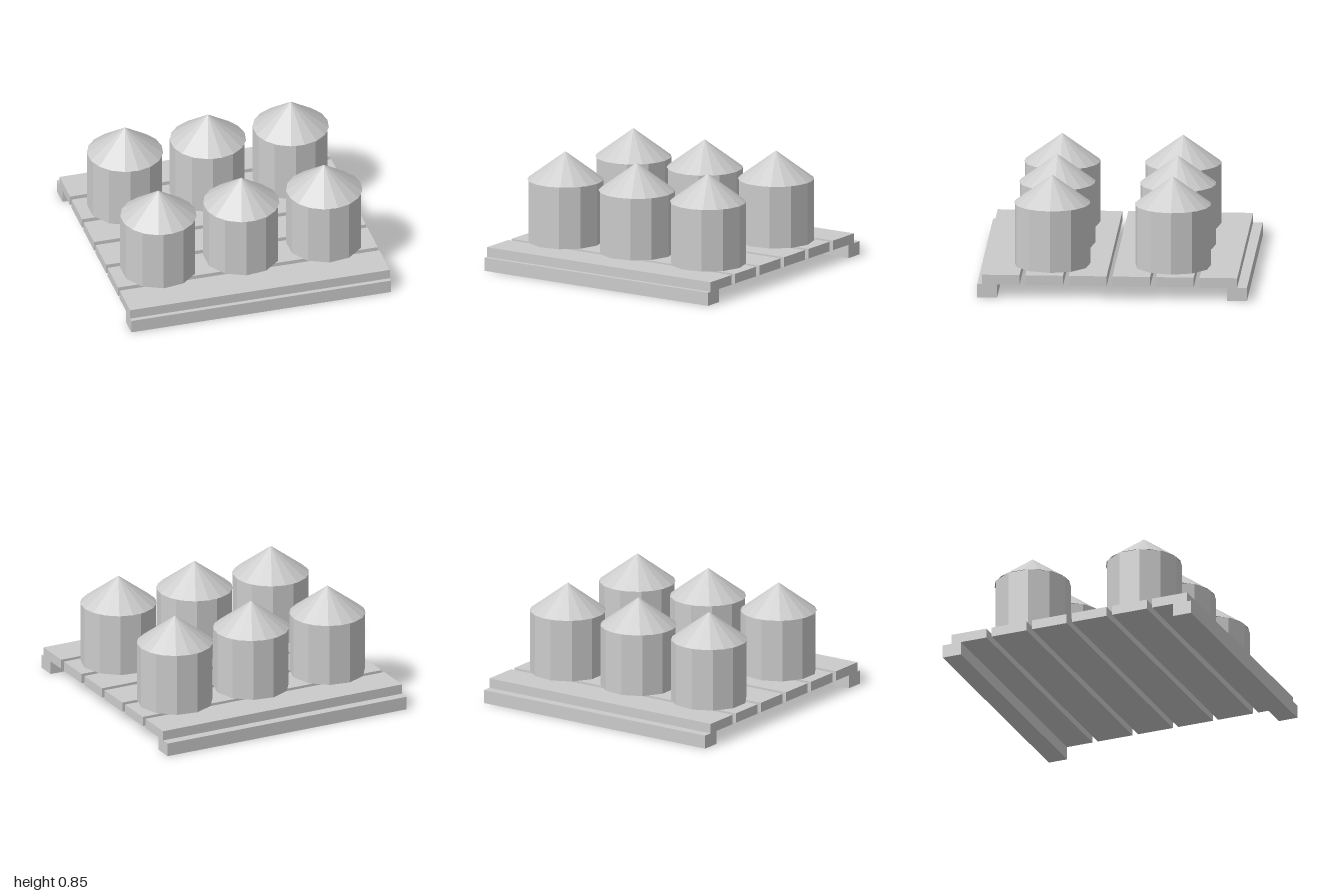
import * as THREE from 'three';

const material = new THREE.MeshStandardMaterial({ color: 0xcccccc, flatShading: true });

function addMesh(parent, name, geometry, x, y, z) {
  const mesh = new THREE.Mesh(geometry, material);
  mesh.name = name;
  mesh.position.set(x, y, z);
  parent.add(mesh);
  return mesh;
}

export function createModel() {
  const model = new THREE.Group();
  model.name = 'palletWithTanks';

  const railHeight = 0.1, deckTop = 0.173, wallTop = 0.642, apex = 0.853;

  // Two rails carrying the deck along the front and back edges
  const railGeometry = new THREE.BoxGeometry(2, railHeight, 0.147);
  addMesh(model, 'frontRail', railGeometry, 0, railHeight / 2, 0.9265);
  addMesh(model, 'backRail', railGeometry, 0, railHeight / 2, -0.9265);

  // Six deck planks with narrow gaps
  const plankDepth = 0.28, pitch = 0.3228;
  const plankGeometry = new THREE.BoxGeometry(2, deckTop - railHeight, plankDepth);
  for (let i = 0; i < 6; i++) {
    addMesh(model, 'deckPlank', plankGeometry, 0, (deckTop + railHeight) / 2, 0.826 - i * pitch);
  }

  // Six faceted tanks with conical roofs, each with a corner pointing to +x
  const radius = 0.283;
  const wallGeometry = new THREE.CylinderGeometry(
    radius, radius, wallTop - deckTop, 11, 1, false, Math.PI / 2);
  const roofGeometry = new THREE.ConeGeometry(
    radius, apex - wallTop, 17, 1, false, Math.PI / 2);
  for (const z of [0.465, -0.431]) {
    for (const x of [-0.638, 0, 0.638]) {
      const tank = new THREE.Group();
      tank.name = 'tank';
      tank.position.set(x, 0, z);
      addMesh(tank, 'tankWall', wallGeometry, 0, (deckTop + wallTop) / 2, 0);
      addMesh(tank, 'tankRoof', roofGeometry, 0, (wallTop + apex) / 2, 0);
      model.add(tank);
    }
  }

  return model;
}
